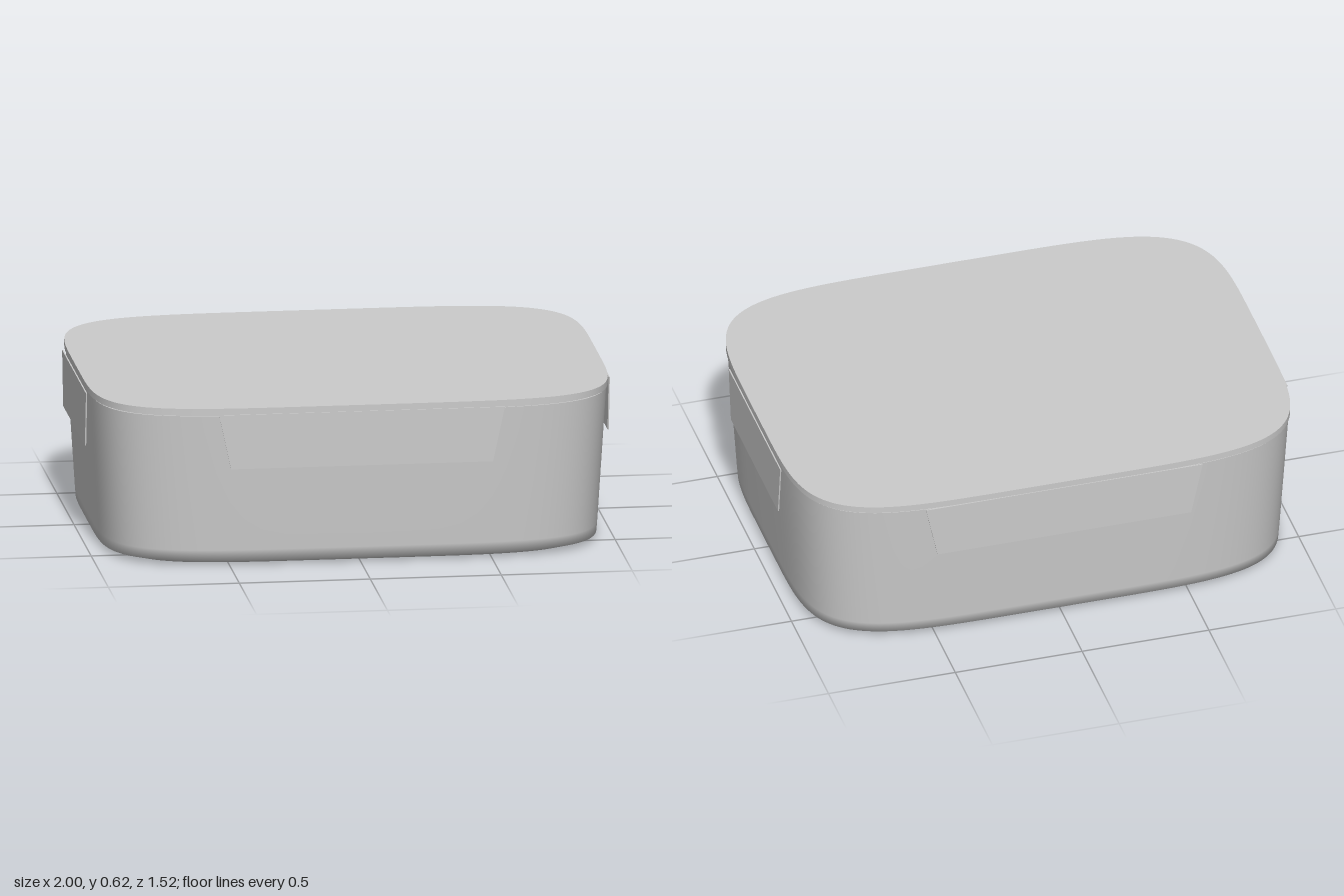
import * as THREE from 'three';
import { toCreasedNormals } from 'three/addons/utils/BufferGeometryUtils.js';

const SEGMENTS = 128;
const EXPONENT = 5;

// Point on a superellipse outline with half sizes a (x) and b (z)
function outline(a, b, i) {
  const t = (i / SEGMENTS) * Math.PI * 2;
  const power = (v) => Math.sign(v) * Math.pow(Math.abs(v), 2 / EXPONENT);
  return [a * power(Math.cos(t)), b * power(Math.sin(t))];
}

// Closed solid lofted through rings [y, halfX, halfZ], listed bottom to top
function loft(rings) {
  const positions = [];
  const index = [];
  for (const [y, a, b] of rings) {
    for (let i = 0; i < SEGMENTS; i++) {
      const [x, z] = outline(a, b, i);
      positions.push(x, y, z);
    }
  }
  const bottom = rings.length * SEGMENTS;
  positions.push(0, rings[0][0], 0, 0, rings[rings.length - 1][0], 0);
  const topRing = (rings.length - 1) * SEGMENTS;
  for (let i = 0; i < SEGMENTS; i++) {
    const j = (i + 1) % SEGMENTS;
    for (let r = 0; r < rings.length - 1; r++) {
      const p = r * SEGMENTS;
      const q = p + SEGMENTS;
      index.push(p + i, q + i, p + j, p + j, q + i, q + j);
    }
    index.push(bottom, i, j);
    index.push(bottom + 1, topRing + j, topRing + i);
  }
  const geometry = new THREE.BufferGeometry();
  geometry.setAttribute('position', new THREE.Float32BufferAttribute(positions, 3));
  geometry.setIndex(index);
  return toCreasedNormals(geometry, THREE.MathUtils.degToRad(80));
}

// Thin trapezoid clip, outer face on z = 0
function flapGeometry(topHalf, bottomHalf) {
  const shape = new THREE.Shape([
    new THREE.Vector2(-bottomHalf, 0.385),
    new THREE.Vector2(bottomHalf, 0.385),
    new THREE.Vector2(topHalf, 0.596),
    new THREE.Vector2(-topHalf, 0.596),
  ]);
  const depth = 0.005;
  return new THREE.ExtrudeGeometry(shape, { depth, bevelEnabled: false }).translate(0, 0, -depth);
}

export function createModel() {
  const group = new THREE.Group();
  const material = new THREE.MeshStandardMaterial({ color: 0xcccccc });
  const add = (name, geometry) => {
    const mesh = new THREE.Mesh(geometry, material);
    mesh.name = name;
    group.add(mesh);
    return mesh;
  };

  // Tapered tub with a shallow bevel round its base
  add('tub', loft([
    [0, 0.89, 0.672],
    [0.02, 0.952, 0.722],
    [0.06, 0.955, 0.725],
    [0.59, 0.988, 0.754],
  ]));

  // Flat lid, with a narrow recessed seam below it
  add('lidSeam', loft([[0.588, 0.982, 0.748], [0.597, 0.982, 0.748]]));
  add('lid', loft([[0.595, 0.993, 0.758], [0.62, 0.993, 0.758]]));

  // Four clip flaps hanging from the lid edge
  const longFlap = flapGeometry(0.545, 0.5);
  const shortFlap = flapGeometry(0.347, 0.317);
  const flaps = [
    ['frontFlap', longFlap, 0, 0, 0.762],
    ['backFlap', longFlap, Math.PI, 0, -0.762],
    ['leftFlap', shortFlap, Math.PI / 2, 1, 0],
    ['rightFlap', shortFlap, -Math.PI / 2, -1, 0],
  ];
  for (const [name, geometry, turn, x, z] of flaps) {
    const flap = add(name, geometry);
    flap.rotation.y = turn;
    flap.position.set(x, 0, z);
  }
  return group;
}
